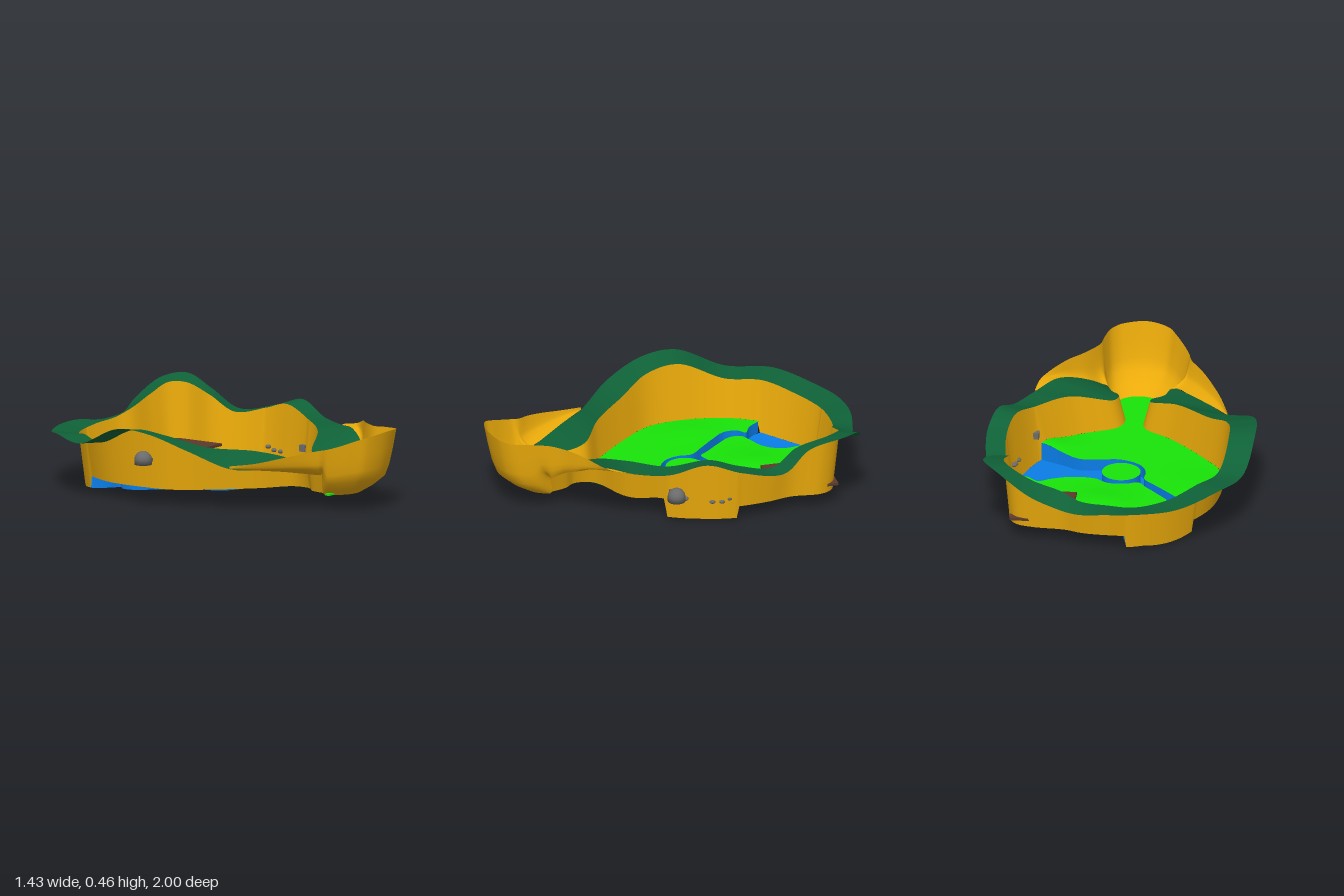
import * as THREE from 'three';
import { mergeVertices } from 'three/addons/utils/BufferGeometryUtils.js';

const V = (x, y, z) => new THREE.Vector3(x, y, z);
const mat = (color) => new THREE.MeshStandardMaterial({ color, side: THREE.DoubleSide });
const GOLD = mat(0xeaaa0a), RIM = mat(0x0f6238), GRASS = mat(0x18e408);
const WATER = mat(0x0a7ce6), BROWN = mat(0x5b3a2c), STONE = mat(0x6b6b6b);
const BED = 0.02;

// floor outline (x, z), from the neck's -x end round the back to its +x end
const BASE = [
  [-.12, .68], [-.1, .59], [-.045, .53], [-.05, .43], [-.2, .32], [-.39, .13], [-.51, -.03],
  [-.54, -.21], [-.51, -.45], [-.42, -.62], [-.29, -.75], [-.13, -.83], [0, -.84], [.14, -.83],
  [.24, -.8], [.4, -.79], [.5, -.76], [.54, -.69], [.53, -.53], [.56, -.4], [.575, -.22],
  [.55, -.08], [.465, .13], [.3, .31], [.085, .43], [.065, .53], [.11, .59], [.14, .68]];
// rim at the same stations: outer x, outer z, inner height, outer height
const EDGE = [
  [-.19, .7, .19, .195], [-.25, .63, .2, .205], [-.31, .56, .21, .215], [-.4, .46, .24, .225],
  [-.5, .34, .29, .235], [-.63, .16, .32, .33], [-.7, -.05, .38, .41], [-.715, -.24, .4, .42],
  [-.68, -.5, .3, .31], [-.57, -.73, .31, .32], [-.37, -.91, .28, .29], [-.18, -.985, .27, .29],
  [0, -1, .28, .285], [.16, -.97, .29, .265], [.3, -.93, .33, .285], [.42, -.935, .38, .345],
  [.58, -.88, .43, .44], [.67, -.78, .43, .46], [.645, -.6, .38, .4], [.69, -.45, .3, .3],
  [.715, -.21, .34, .345], [.68, -.03, .38, .395], [.61, .16, .33, .33], [.52, .34, .31, .32],
  [.43, .47, .24, .33], [.35, .58, .22, .29], [.27, .64, .21, .25], [.21, .7, .19, .2]];
// upper edge of the flared front wall, from -x to +x
const FLARE = [
  [-.5, .25, .34], [-.45, .27, .47], [-.385, .3, .585], [-.32, .325, .68], [-.265, .34, .745],
  [-.255, .345, .77], [-.245, .352, .8], [-.21, .372, .86], [-.165, .397, .92], [-.12, .415, .97],
  [0, .432, 1], [.13, .425, .97], [.165, .42, .945], [.19, .415, .91], [.21, .41, .83],
  [.22, .405, .77], [.25, .405, .71], [.31, .4, .64], [.385, .39, .575], [.5, .345, .45],
  [.525, .325, .34]];
// banks of the water, both from the pond to the lake
const NORTH = [
  [-.1, -.833], [-.065, -.71], [-.065, -.63], [-.115, -.555], [-.205, -.51], [-.27, -.475],
  [-.27, -.41], [-.205, -.33], [-.13, -.25], [-.09, -.205], [-.02, -.23], [.075, -.23],
  [.14, -.185], [.27, -.18], [.375, -.215], [.44, -.25], [.51, -.2], [.572, -.215]];
const SOUTH = [
  [-.42, -.61], [-.365, -.545], [-.3, -.51], [-.34, -.475], [-.34, -.4], [-.27, -.32],
  [-.18, -.23], [-.115, -.16], [-.115, -.08], [-.075, 0], [.03, .05], [.14, .04],
  [.245, .03], [.35, .08], [.465, .13]];
const POND = [9, 11.25], LAKE = [20, 22], LAST = BASE.length - 1;

// gently rolling ground
const bump = (x, z, cx, cz, r) => Math.exp(-((x - cx) ** 2 + (z - cz) ** 2) / (r * r));
const ground = (x, z) => 0.086 + 0.038 * bump(x, z, .45, .16, .12)
  + 0.02 * bump(x, z, .08, -.45, .13) + 0.012 * bump(x, z, -.38, -.2, .12);
const bed = (x, z) => BED - 0.018 * Math.max(0, 1 - ((x + .25) ** 2 + (z + .66) ** 2) / .026);

const spline = (pts) => new THREE.CatmullRomCurve3(pts);
const baseCurve = spline(BASE.map(([x, z]) => V(x, 0, z)));
const outerPts = EDGE.map(([x, z, , y]) => V(x, y, z));
const outerCurve = spline(outerPts);
const topPts = BASE.map(([x, z], i) => {
  const d = V(EDGE[i][0] - x, 0, EDGE[i][1] - z).setLength(0.035);
  return V(x + d.x, EDGE[i][2], z + d.z);
});
const topCurve = spline(topPts);
// [x, z] points of the floor outline between two stations
function wall(a, b) {
  const n = Math.ceil((b - a) * 4);
  return Array.from({ length: n + 1 }, (_, i) => {
    const p = baseCurve.getPoint((a + (b - a) * i / n) / LAST);
    return [p.x, p.z];
  });
}
const smooth = (pts) => spline(pts.map(([x, z]) => V(x, 0, z))).getPoints(pts.length * 3).map(p => [p.x, p.z]);

// surface through rows of points
function loft(name, rows, material) {
  const n = rows[0].length, pos = [], idx = [];
  rows.forEach(r => r.forEach(p => pos.push(p.x, p.y, p.z)));
  for (let r = 0; r < rows.length - 1; r++) for (let i = 0; i < n - 1; i++) {
    const a = r * n + i, b = a + n;
    idx.push(a, b, a + 1, a + 1, b, b + 1);
  }
  const g = new THREE.BufferGeometry();
  g.setAttribute('position', new THREE.Float32BufferAttribute(pos, 3));
  g.setIndex(idx);
  g.computeVertexNormals();
  return named(name, g, material);
}
function named(name, g, material, x = 0, y = 0, z = 0) {
  const m = new THREE.Mesh(g, material);
  m.name = name;
  m.position.set(x, y, z);
  return m;
}
// flat outline, split finely and draped over a height function
function sheet(name, outline, height, material, hole) {
  const to2 = (pts) => pts.map(([x, z]) => new THREE.Vector2(x, z));
  const shape = new THREE.Shape(to2(outline));
  if (hole) shape.holes.push(new THREE.Path(to2(hole)));
  let p = Array.from(new THREE.ShapeGeometry(shape).toNonIndexed().attributes.position.array);
  for (let level = 0; level < 3; level++) {
    const out = [];
    for (let i = 0; i < p.length; i += 9) {
      const [a, b, c] = [0, 3, 6].map(k => V(p[i + k], p[i + k + 1], 0));
      const [ab, bc, ca] = [[a, b], [b, c], [c, a]].map(([s, t]) => s.clone().lerp(t, 0.5));
      for (const v of [a, ab, ca, ab, b, bc, ca, bc, c, ab, bc, ca]) out.push(v.x, v.y, 0);
    }
    p = out;
  }
  for (let i = 0; i < p.length; i += 3) {
    const x = p[i], z = p[i + 1];
    p[i + 1] = height(x, z);
    p[i + 2] = z;
  }
  let g = new THREE.BufferGeometry();
  g.setAttribute('position', new THREE.Float32BufferAttribute(p, 3));
  g = mergeVertices(g, 1e-5);
  g.computeVertexNormals();
  return named(name, g, material);
}
const bank = (name, pts) => loft(name, [
  pts.map(([x, z]) => V(x, ground(x, z), z)), pts.map(([x, z]) => V(x, bed(x, z), z))], WATER);

export function createModel() {
  const model = new THREE.Group();
  const north = smooth(NORTH), south = smooth(SOUTH);

  // grass: far side with an opening under the platform, near side with neck and round end
  model.add(sheet('farGrass', [...wall(POND[1], LAKE[0]), ...[...north].reverse().slice(1, -1)], ground, GRASS,
    [[.27, -.75], [.48, -.74], [.5, -.51], [.27, -.51]]));
  const round = Array.from({ length: 15 }, (_, i) => {
    const a = Math.PI * (i + 1) / 16;
    return [.01 + .13 * Math.cos(a), .68 + .12 * Math.sin(a)];
  });
  model.add(sheet('nearGrass', [...wall(LAKE[1], LAST), ...round, ...wall(0, POND[0]), ...south.slice(1, -1)],
    ground, GRASS));
  model.add(named('grassNotch', new THREE.BoxGeometry(.06, .01, .03), GRASS, -.13, .088, .73));

  // water: bed, banks and the island
  model.add(sheet('waterBed', [...wall(...POND), ...north.slice(1, -1), ...wall(...LAKE), ...[...south].reverse().slice(1, -1)],
    bed, WATER));
  model.add(bank('farBank', north), bank('nearBank', south));
  const isle = Array.from({ length: 33 }, (_, i) => {
    const a = Math.PI * 2 * i / 32;
    return [.015 + .103 * Math.cos(a), -.09 + .103 * Math.sin(a)];
  });
  model.add(sheet('island', isle.slice(0, 32), ground, GRASS), bank('islandBank', isle));

  // wall and sloping rim, the wall reaching down to the bed beside the water
  const foot = [], top = [], outer = [];
  for (let i = 0; i <= LAST * 12; i++) {
    const s = i / 12, t = s / LAST, p = baseCurve.getPoint(t);
    const wet = [POND, LAKE].some(([a, b]) => s >= a && s <= b);
    p.y = wet ? bed(p.x, p.z) : ground(p.x, p.z);
    foot.push(p);
    top.push(topCurve.getPoint(t));
    outer.push(outerCurve.getPoint(t));
  }
  model.add(loft('wall', [foot, top], GOLD), loft('rim', [top, outer], RIM));

  // flared front wall: its lower edge follows the rim, the neck ends and the round grass
  const underGrass = ([x, z]) => V(x, ground(x, z) - .006, z);
  const low = spline([
    ...outerPts.slice(0, 5).reverse(), topPts[0], underGrass(BASE[0]),
    ...round.filter((_, i) => i % 2).reverse().map(underGrass),
    underGrass(BASE[LAST]), topPts[LAST], ...outerPts.slice(-5).reverse()]);
  const high = spline(FLARE.map(p => V(...p)));
  const profile = [[0, 0], [.36, .12], [.68, .27], [.8, .45], [.9, .7], [1, 1]];
  model.add(loft('frontWall', profile.map(([out, up]) => low.getPoints(120).map((a, i) => {
    const b = high.getPoint(i / 120);
    return V(a.x + (b.x - a.x) * out, a.y + (b.y - a.y) * up, a.z + (b.z - a.z) * out);
  })), GOLD));

  // platform in the back corner
  model.add(named('platform', new THREE.BoxGeometry(.32, .014, .34), BROWN, .37, .127, -.62));

  // domed stones outside the wall, each with a stub through it
  for (const [x, y, z, reach, size] of [[.575, .16, .11, -.1, .036], [-.63, .23, -.13, .075, .018]]) {
    const stone = new THREE.Group();
    stone.name = 'domedStone';
    stone.position.set(x, y, z);
    const outline = [[0, 0], [.047, 0], [.047, .03], [.043, .046], [.032, .06], [.017, .069], [0, .072]];
    stone.add(named('dome', new THREE.LatheGeometry(outline.map(q => new THREE.Vector2(...q)), 20), STONE));
    stone.add(named('stub', new THREE.BoxGeometry(Math.abs(reach), size, size), STONE, reach / 2, .015, 0));
    model.add(stone);
  }

  // pebbles set in the wall by the lake
  for (const [x, y, z] of [[.575, .14, -.18], [.573, .125, -.14], [.563, .125, -.09], [.54, .15, .05], [.53, .155, .08]]) {
    const pebble = named('pebble', new THREE.SphereGeometry(.016, 10, 8), STONE, x, y, z);
    pebble.scale.y = 0.7;
    model.add(pebble);
  }
  return model;
}
